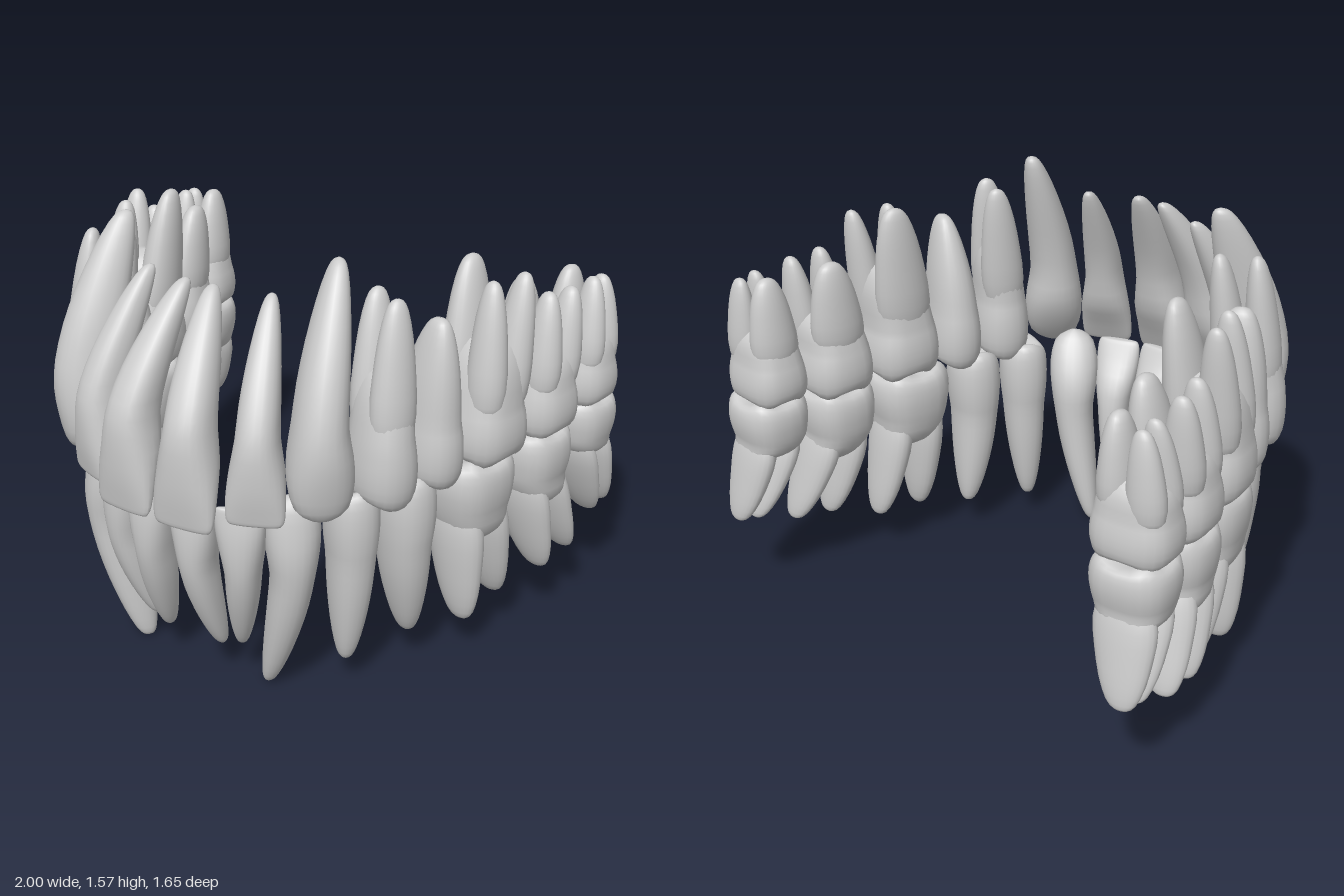
import * as THREE from 'three';

const SEG = 24, SUB = 2;
const mat = new THREE.MeshStandardMaterial({ color: 0xcccccc, roughness: 0.6 });

// Catmull-Rom resampling of rows of numbers
function smooth(rows) {
  const out = [], n = rows.length, at = i => rows[Math.min(n - 1, Math.max(0, i))];
  for (let i = 0; i < n - 1; i++) for (let k = 0; k < SUB; k++) {
    const t = k / SUB, a = at(i - 1), b = at(i), c = at(i + 1), d = at(i + 2);
    out.push(b.map((v, j) => v + 0.5 * t * (c[j] - a[j] + t * (2 * a[j] - 5 * v + 4 * c[j] - d[j]
      + t * (3 * (v - c[j]) + d[j] - a[j])))));
  }
  out.push(rows[n - 1]);
  return out;
}

// Skin over rows of [y, centre x, centre z, half width, half depth, cusp height]
function loft(rows, { yaw, power = 2, cusps = 0, side, dir }) {
  const pos = [], idx = [], ct = Math.cos(yaw), st = Math.sin(yaw), rings = smooth(rows);
  const round = v => Math.sign(v) * Math.abs(v) ** (2 / power);
  for (const [y, cx, cz, w, d, h] of rings) for (let j = 0; j < SEG; j++) {
    const a = j / SEG * Math.PI * 2;
    const u = Math.max(w, 0.0005) * round(Math.cos(a)), v = Math.max(d, 0.0005) * round(Math.sin(a));
    pos.push(side * (cx + u * ct + v * st), y + dir * h * Math.cos(cusps * a), cz - u * st + v * ct);
  }
  for (let i = 0; i < rings.length - 1; i++) for (let j = 0; j < SEG; j++) {
    const k = (j + 1) % SEG, a = i * SEG + j, b = i * SEG + k, c = a + SEG, d = b + SEG;
    if (side * dir > 0) idx.push(a, c, b, b, c, d);
    else idx.push(a, b, c, b, d, c);
  }
  const g = new THREE.BufferGeometry();
  g.setAttribute('position', new THREE.Float32BufferAttribute(pos, 3));
  g.setIndex(idx);
  g.computeVertexNormals();
  return g;
}

// Crown profiles from bite to neck: [t, width, depth, outward shift, cusp weight]
const grinding = [[.14, 0, 0, 0, 0], [.12, .28, .28, 0, .35], [.06, .6, .58, 0, 1], [.08, .82, .8, 0, .8],
  [.22, .96, .95, 0, .25], [.5, 1, 1, 0, 0], [.78, .95, .97, 0, 0], [1, .88, .91, 0, 0]];
const KINDS = {
  incisor: { power: 2.3, cusps: 0, rows: [[0, 0, 0, .6, 0], [0, .74, .12, .6, 0], [.03, .92, .2, .59, 0],
    [.12, 1, .3, .54, 0], [.35, 1, .55, .4, 0], [.65, .91, .85, .15, 0], [1, .73, .93, 0, 0]] },
  canine: { power: 2.2, cusps: 0, rows: [[0, 0, 0, .3, 0], [.04, .38, .25, .35, 0], [.16, .82, .5, .3, 0],
    [.42, 1, .8, .15, 0], [.7, .96, .98, .05, 0], [1, .82, .96, 0, 0]] },
  premolar: { power: 2.2, cusps: 2, rows: grinding },
  molar: { power: 2.6, cusps: 4, rows: grinding },
};
const TAPER = [[.25, .92], [.5, .79], [.75, .59], [.92, .38], [.985, .2], [1, 0]];
const BLUNT = [[0, 0], [.04, .75], [.25, .98], [.5, .9], [.75, .72], [.92, .48], [.985, .25], [1, 0]];

// One tooth. c: crown centre [x, z]; roots: [apex x, apex z, apex y, u, v]
function makeTooth(t, side, dir) {
  const { c: [x, z], yaw, w, d, bite, neck, furc, roots } = t, kind = KINDS[t.kind];
  const group = new THREE.Group(), sn = Math.sin(yaw), cs = Math.cos(yaw);
  const add = (name, rows, o) => {
    const m = new THREE.Mesh(loft(rows, { yaw, side, dir, ...o }), mat);
    m.name = name;
    group.add(m);
  };
  const len = neck - bite;
  const rows = kind.rows.map(([k, a, b, o, h]) =>
    [bite + k * len, x + o * d * sn, z + o * d * cs, w * a, d * b, h * Math.abs(len) * .07]);
  const [, , , nw, nd] = rows[rows.length - 1];

  if (!furc) {
    // single tapering root continues the crown
    const [ax, az, ay] = roots[0];
    for (const [s, k] of TAPER) {
      const e = s ** 1.3;
      rows.push([neck + (ay - neck) * s, x + (ax - x) * e, z + (az - z) * e, nw * k, nd * k, 0]);
    }
    add('crownAndRoot', rows, kind);
    return group;
  }
  // trunk that closes where the roots part
  const mean = i => roots.reduce((s, r) => s + r[i], 0) / roots.length;
  const apexY = mean(2);
  for (const [f, k] of [[.5, .9], [.85, .66], [1, .38], [1.04, 0]]) {
    const y = neck + (furc - neck) * f, s = (y - neck) / (apexY - neck);
    rows.push([y, x + (mean(0) - x) * s, z + (mean(1) - z) * s, nw * k, nd * k, 0]);
  }
  add('crownAndTrunk', rows, kind);
  const start = neck - len * .2;
  for (const [ax, az, ay, u, v] of roots) {
    const sx = x + u * w * cs + v * d * sn, sz = z - u * w * sn + v * d * cs;
    const rw = w * (u ? .44 : .78), rd = d * (v ? .47 : .82);
    add('root', BLUNT.map(([s, k]) =>
      [start + (ay - start) * s, sx + (ax - sx) * s ** 1.3, sz + (az - sz) * s ** 1.3, rw * k, rd * k, 0]), {});
  }
  return group;
}

const UPPER = [
  { name: 'CentralIncisor', kind: 'incisor', c: [.117, .725], yaw: .08, w: .114, d: .1, bite: .7, neck: 1.04, roots: [[.055, .5, 1.45]] },
  { name: 'LateralIncisor', kind: 'incisor', c: [.318, .635], yaw: .4, w: .1, d: .095, bite: .73, neck: 1.02, roots: [[.245, .44, 1.44]] },
  { name: 'Canine', kind: 'canine', c: [.475, .51], yaw: .75, w: .112, d: .125, bite: .73, neck: 1.06, roots: [[.43, .33, 1.565]] },
  { name: 'FirstPremolar', kind: 'premolar', c: [.59, .31], yaw: 1.1, w: .108, d: .14, bite: .735, neck: .99, furc: 1.2,
    roots: [[.62, .285, 1.45, 0, .42], [.51, .22, 1.45, 0, -.42]] },
  { name: 'SecondPremolar', kind: 'premolar', c: [.655, .11], yaw: 1.22, w: .1, d: .14, bite: .745, neck: .98, roots: [[.685, .11, 1.34]] },
  { name: 'FirstMolar', kind: 'molar', c: [.73, -.12], yaw: 1.38, w: .145, d: .16, bite: .765, neck: .98, furc: 1.21,
    roots: [[.77, -.095, 1.42, -.42, .42], [.82, -.23, 1.42, .42, .42], [.635, -.195, 1.46, 0, -.42]] },
  { name: 'SecondMolar', kind: 'molar', c: [.795, -.4], yaw: 1.42, w: .138, d: .16, bite: .775, neck: .97, furc: 1.1,
    roots: [[.85, -.37, 1.31, -.42, .42], [.88, -.485, 1.3, .42, .42], [.71, -.45, 1.31, 0, -.42]] },
  { name: 'ThirdMolar', kind: 'molar', c: [.85, -.655], yaw: 1.45, w: .12, d: .148, bite: .81, neck: .98, furc: 1.1,
    roots: [[.895, -.64, 1.29, -.42, .42], [.9, -.705, 1.28, .42, .42], [.79, -.68, 1.3, 0, -.42]] },
];
const LOWER = [
  { name: 'CentralIncisor', kind: 'incisor', c: [.09, .66], yaw: .08, w: .083, d: .085, bite: .75, neck: .5, roots: [[.115, .56, .135]] },
  { name: 'LateralIncisor', kind: 'incisor', c: [.24, .61], yaw: .35, w: .086, d: .09, bite: .755, neck: .5, roots: [[.185, .54, .15]] },
  { name: 'Canine', kind: 'canine', c: [.375, .515], yaw: .65, w: .095, d: .11, bite: .8, neck: .48, roots: [[.265, .5, 0]] },
  { name: 'FirstPremolar', kind: 'premolar', c: [.51, .36], yaw: 1.0, w: .092, d: .11, bite: .79, neck: .52, roots: [[.495, .36, .1]] },
  { name: 'SecondPremolar', kind: 'premolar', c: [.61, .175], yaw: 1.2, w: .098, d: .12, bite: .79, neck: .52, roots: [[.605, .12, .13]] },
  { name: 'FirstMolar', kind: 'molar', c: [.715, -.09], yaw: 1.36, w: .155, d: .145, bite: .79, neck: .58, furc: .46,
    roots: [[.74, -.035, .14, -.42, 0], [.76, -.235, .165, .42, 0]] },
  { name: 'SecondMolar', kind: 'molar', c: [.8, -.39], yaw: 1.42, w: .138, d: .145, bite: .8, neck: .6, furc: .49,
    roots: [[.86, -.405, .215, -.42, 0], [.89, -.555, .24, .42, 0]] },
  { name: 'ThirdMolar', kind: 'molar', c: [.855, -.665], yaw: 1.45, w: .13, d: .142, bite: .835, neck: .66, furc: .59,
    roots: [[.9, -.735, .32, -.42, 0], [.91, -.805, .335, .42, 0]] },
];

export function createModel() {
  const model = new THREE.Group();
  model.name = 'teeth';
  for (const [arch, list, dir] of [['upper', UPPER, 1], ['lower', LOWER, -1]]) {
    const row = new THREE.Group();
    row.name = arch + 'Arch';
    for (const t of list) for (const [label, side] of [['Left', 1], ['Right', -1]]) {
      const tooth = makeTooth(t, side, dir);
      tooth.name = arch + label + t.name;
      row.add(tooth);
    }
    model.add(row);
  }
  return model;
}
